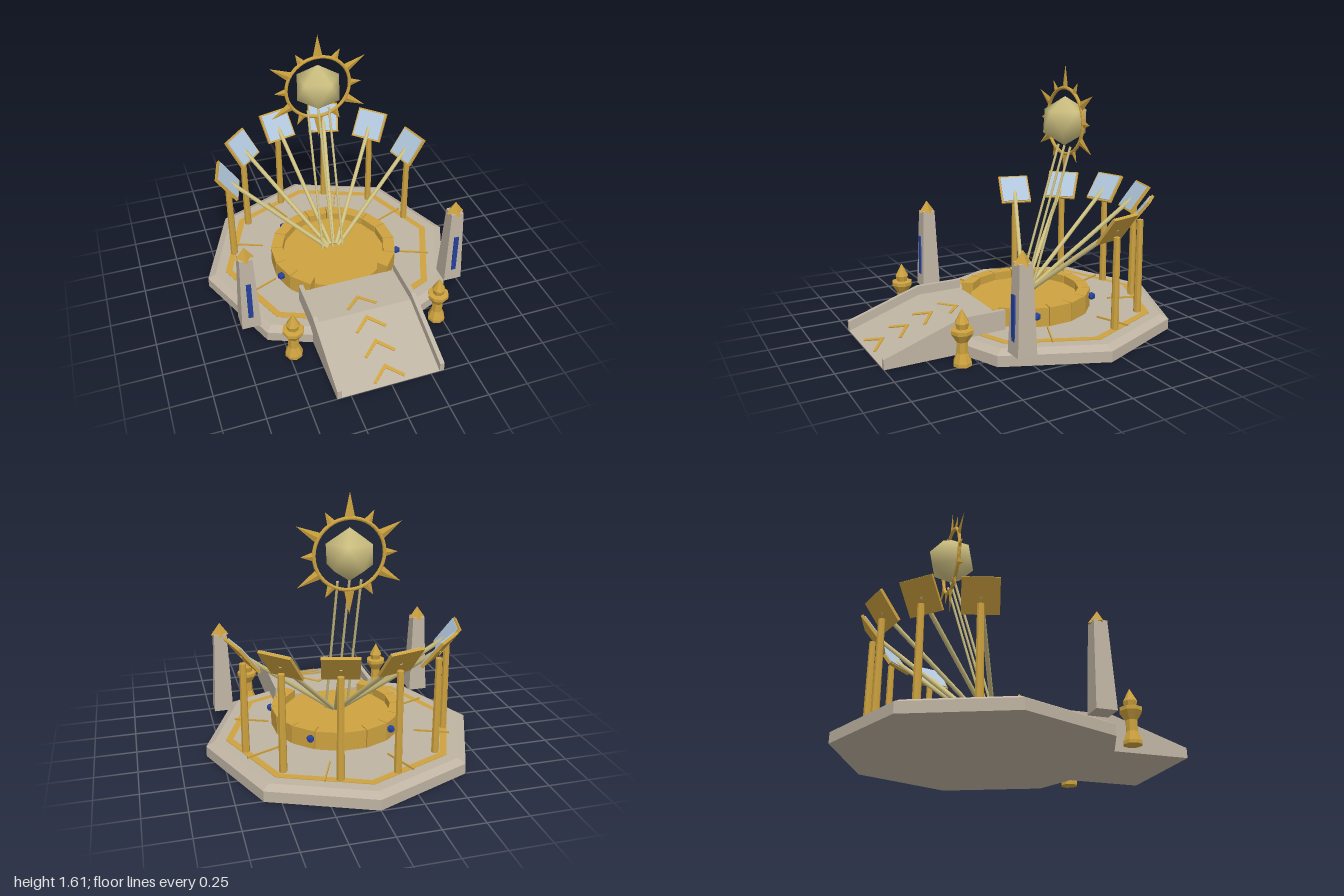
import * as THREE from 'three';

const material = (name, color) => Object.assign(new THREE.MeshStandardMaterial({ color }), { name });

export function createModel() {
  const model = new THREE.Group();
  model.name = 'sunShrine';
  const stone = material('stone', 0xbfb4a3);
  const gold = material('gold', 0xcda23f);
  const glass = material('mirror glass', 0xb2c8de);
  const brass = material('pale brass', 0xd0c282);
  const blue = material('lapis blue', 0x24409c);
  [gold, stone, blue].forEach((m) => { m.flatShading = true; });

  const add = (name, geometry, mat, x = 0, y = 0, z = 0, parent = model) => {
    const mesh = new THREE.Mesh(geometry, mat);
    mesh.name = name;
    mesh.position.set(x, y, z);
    parent.add(mesh);
    return mesh;
  };
  const box = (w, h, d) => new THREE.BoxGeometry(w, h, d);
  const shapeOf = (points) => new THREE.Shape(points.map(([x, y]) => new THREE.Vector2(x, y)));
  const extrude = (shape, depth) => new THREE.ExtrudeGeometry(shape, { depth, bevelEnabled: false });
  // Straight round bar between two points
  const bar = (name, a, b, radius, mat) => {
    const dir = b.clone().sub(a);
    const mesh = add(name, new THREE.CylinderGeometry(radius, radius, dir.length(), 8), mat);
    mesh.position.copy(a).add(b).multiplyScalar(0.5);
    mesh.quaternion.setFromUnitVectors(new THREE.Vector3(0, 1, 0), dir.normalize());
  };
  // Icosahedron standing on a vertex
  const ico = (radius) => new THREE.IcosahedronGeometry(radius, 0)
    .rotateX(-Math.atan((1 + Math.sqrt(5)) / 2)).rotateY(Math.PI / 2);

  // Octagonal terrace with a chamfered rim
  const CZ = -0.16;
  add('terraceBase', new THREE.CylinderGeometry(0.84, 0.84, 0.065, 8), stone, 0, 0.0325, CZ);
  add('terraceRim', new THREE.CylinderGeometry(0.79, 0.84, 0.025, 8), stone, 0, 0.0775, CZ);
  add('goldInlay', new THREE.CylinderGeometry(0.72, 0.72, 0.003, 8), gold, 0, 0.0915, CZ);
  add('stoneFloor', new THREE.CylinderGeometry(0.675, 0.675, 0.003, 8), stone, 0, 0.09155, CZ);

  // Thin radial ribs on the floor
  for (let i = 0; i < 8; i++) {
    const a = Math.PI / 8 + i * Math.PI / 4;
    const rib = add('floorRib', box(0.22, 0.012, 0.008), gold,
      0.57 * Math.cos(a), 0.098, CZ + 0.57 * Math.sin(a));
    rib.rotation.y = -a;
  }

  // Dais: sunken disc inside an open ring of blocks
  const DZ = -0.065;
  add('daisDisc', new THREE.CylinderGeometry(0.345, 0.345, 0.068, 32), gold, 0, 0.124, DZ);
  const step = THREE.MathUtils.degToRad(21.8);
  const half = step / 2 - 0.008;
  const corner = (r, a) => [r * Math.sin(a), r * Math.cos(a)];
  const block = extrude(shapeOf([
    corner(0.34, -half), corner(0.34, half), corner(0.415, half), corner(0.415, -half),
  ]), 0.12).rotateX(-Math.PI / 2);
  for (let i = -6; i <= 6; i++) {
    add('daisBlock', block, gold, 0, 0.09, DZ).rotation.y = i * step;
  }
  for (const s of [-1, 1]) {
    add('daisGem', ico(0.026), blue, s * 0.4, 0.165, 0.075);
    add('daisGem', ico(0.026), blue, s * 0.25, 0.165, -0.41);
  }

  // Ramp with side walls; side profiles are drawn in (-z, y)
  const sideways = (points, width) => extrude(shapeOf(points), width)
    .translate(0, 0, -width / 2).rotateY(Math.PI / 2);
  add('ramp', sideways([[-1, 0], [-0.25, 0], [-0.25, 0.16], [-0.54, 0.16], [-1, 0.002]], 0.62), stone);
  for (const s of [-1, 1]) {
    add('rampWall', sideways([[-1, 0], [-0.25, 0], [-0.25, 0.215], [-0.54, 0.215], [-1, 0.06]], 0.028),
      stone, s * 0.32);
  }

  // Chevrons up the ramp
  const chevron = extrude(shapeOf([
    [0, 0.05], [0.1, -0.042], [0.088, -0.056], [0, 0.022], [-0.088, -0.056], [-0.1, -0.042],
  ]), 0.006).rotateX(-Math.PI / 2);
  const slope = Math.atan(0.158 / 0.46);
  [0.45, 0.615, 0.77, 0.925].forEach((z, i) => {
    const y = i === 0 ? 0.159 : 0.002 + (1 - z) * 0.158 / 0.46;
    add('chevron', chevron, gold, 0, y, z).rotation.x = i === 0 ? 0 : slope;
  });

  // Six mirrors on posts in an arc, each joined to the dais by a beam
  for (const deg of [-75, -45, -15, 15, 45, 75]) {
    const a = THREE.MathUtils.degToRad(deg);
    const x = 0.645 * Math.sin(a);
    const z = CZ - 0.645 * Math.cos(a);
    const y = { 15: 0.755, 45: 0.735, 75: 0.7 }[Math.abs(deg)];
    add('mirrorPost', new THREE.CylinderGeometry(0.02, 0.024, y - 0.14, 8), gold, x, (y + 0.04) / 2, z);

    const mirror = new THREE.Group();
    mirror.name = 'mirror';
    mirror.position.set(x, y, z);
    mirror.rotation.set(THREE.MathUtils.degToRad(-37), -a, 0, 'YXZ');
    add('mirrorFrame', box(0.21, 0.205, 0.018), gold, 0, 0, 0, mirror);
    add('mirrorGlass', box(0.188, 0.183, 0.008), glass, 0, 0, 0.012, mirror);
    model.add(mirror);

    bar('beam', new THREE.Vector3(0.04 * Math.sin(a), 0.19, -0.065 - 0.03 * Math.cos(a)),
      new THREE.Vector3(x, y, z), 0.014, brass);
  }

  // Sun: faceted orb, ring and alternating rays on three slim stays
  const sun = new THREE.Group();
  sun.name = 'sun';
  sun.position.set(0, 1.255, -0.35);
  model.add(sun);
  const orb = ico(0.155);
  const p = orb.attributes.position;
  for (let i = 0; i < p.count; i++) {
    const n = new THREE.Vector3().fromBufferAttribute(p, i).normalize();
    orb.attributes.normal.setXYZ(i, n.x, n.y, n.z);
  }
  add('sunOrb', orb, brass, 0, 0, 0, sun);
  add('sunRing', new THREE.TorusGeometry(0.207, 0.011, 8, 40), gold, 0, 0, 0, sun);
  for (let i = 0; i < 12; i++) {
    const a = i * Math.PI / 6;
    const [length, radius] = i % 2 ? [0.07, 0.025] : [0.14, 0.03];
    const ray = add('sunRay', new THREE.ConeGeometry(radius, length, 4).scale(1, 1, 0.35), gold,
      (0.215 + length / 2) * Math.sin(a), (0.215 + length / 2) * Math.cos(a), 0, sun);
    ray.rotation.z = -a;
  }
  for (const x of [-0.07, 0, 0.07]) {
    bar('sunStay', new THREE.Vector3(x, 0.19, -0.07), new THREE.Vector3(x, 1.1, -0.35), 0.008, brass);
  }

  // Obelisks and lamps either side of the ramp
  const lampProfile = [[0, 0], [0.055, 0], [0.055, 0.02], [0.034, 0.075], [0.034, 0.14], [0.066, 0.19],
    [0.066, 0.212], [0.034, 0.216], [0.042, 0.25], [0, 0.33]].map(([x, y]) => new THREE.Vector2(x, y));
  for (const s of [-1, 1]) {
    const shaft = new THREE.CylinderGeometry(0.04 * Math.SQRT2, 0.06 * Math.SQRT2, 0.52, 4).rotateY(Math.PI / 4);
    add('obeliskShaft', shaft, stone, s * 0.675, 0.35, 0.323);
    add('obeliskCap', new THREE.ConeGeometry(0.057, 0.08, 4), gold, s * 0.675, 0.64, 0.323);
    add('obeliskInlay', box(0.03, 0.265, 0.009), blue, s * 0.675, 0.305, 0.38);
    add('lamp', new THREE.LatheGeometry(lampProfile, 8), gold, s * 0.47, 0, 0.59);
  }
  return model;
}
